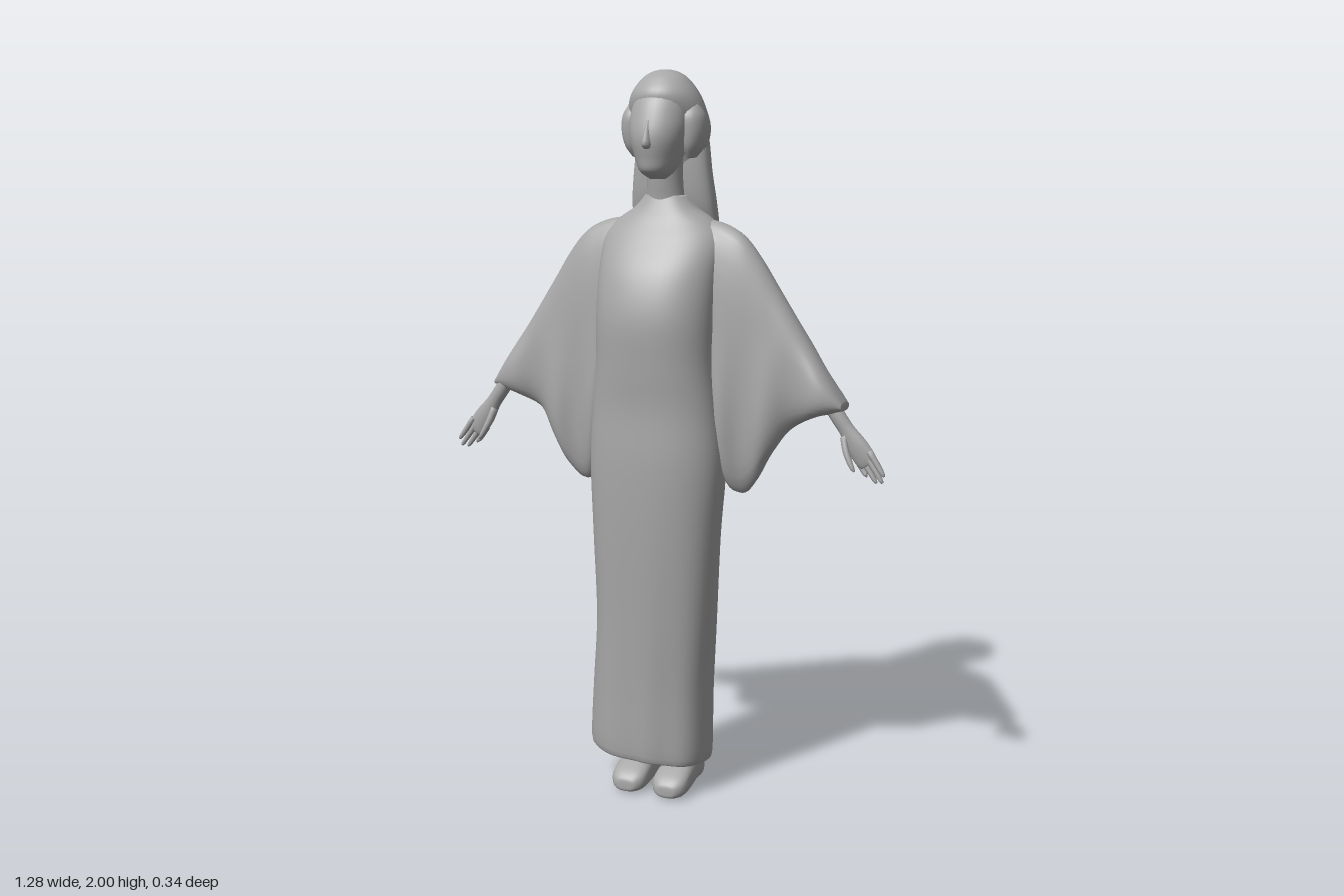
import * as THREE from 'three';

const clay = new THREE.MeshStandardMaterial({ color: 0xa8a8a8 });
clay.name = 'grey clay';

// Smooth closed loft. Sections run along one axis (0 x, 1 y, 2 z) in rising order:
// [position, aMin, aMax, bMin, bMax], where a and b are the next two axes in cyclic order.
function loft(axis, sections, { steps = 5, sides = 32, power = 1, warp } = {}) {
  const a = (axis + 1) % 3, b = (axis + 2) % 3;
  const pos = [], index = [], rings = (sections.length - 1) * steps + 1;
  const sample = (t) => {
    const i = Math.min(Math.floor(t), sections.length - 2), f = t - i;
    const at = (k) => sections[Math.max(0, Math.min(sections.length - 1, k))];
    return sections[0].map((_, c) => {
      const [p, q, r, s] = [at(i - 1)[c], at(i)[c], at(i + 1)[c], at(i + 2)[c]];
      return q + 0.5 * f * (r - p + f * (2 * p - 5 * q + 4 * r - s + f * (3 * (q - r) + s - p)));
    });
  };
  const push = (p) => { if (warp) warp(p); pos.push(p[0], p[1], p[2]); };
  const round = (v) => Math.sign(v) * Math.abs(v) ** power;
  const ends = [];
  for (let i = 0; i < rings; i++) {
    const [w, a0, a1, b0, b1] = sample(i / steps);
    for (let j = 0; j < sides; j++) {
      const th = (j / sides) * Math.PI * 2, p = [0, 0, 0];
      p[axis] = w;
      p[a] = (a0 + a1) / 2 + ((a1 - a0) / 2) * round(Math.cos(th));
      p[b] = (b0 + b1) / 2 + ((b1 - b0) / 2) * round(Math.sin(th));
      push(p);
      if (i < rings - 1) {
        const k = (j + 1) % sides, q = i * sides;
        index.push(q + j, q + k, q + sides + k, q + j, q + sides + k, q + sides + j);
      }
    }
    if (i === 0 || i === rings - 1) {
      const p = [0, 0, 0];
      p[axis] = w; p[a] = (a0 + a1) / 2; p[b] = (b0 + b1) / 2;
      ends.push(p);
    }
  }
  // end caps
  const n = rings * sides, last = n - sides;
  ends.forEach(push);
  for (let j = 0; j < sides; j++) {
    const k = (j + 1) % sides;
    index.push(n, k, j, n + 1, last + j, last + k);
  }
  const geo = new THREE.BufferGeometry();
  geo.setAttribute('position', new THREE.Float32BufferAttribute(pos, 3));
  geo.setIndex(index);
  geo.computeVertexNormals();
  return geo;
}

// Mirror a geometry across x = 0, keeping faces outward
function mirrored(geo) {
  const g = geo.clone(), p = g.attributes.position, ix = g.index.array;
  for (let i = 0; i < p.count; i++) p.setX(i, -p.getX(i));
  for (let i = 0; i < ix.length; i += 3) [ix[i], ix[i + 1]] = [ix[i + 1], ix[i]];
  g.computeVertexNormals();
  return g;
}

export function createModel() {
  const model = new THREE.Group();
  const add = (name, geo) => {
    const mesh = new THREE.Mesh(geo, clay);
    mesh.name = name;
    model.add(mesh);
    return mesh;
  };
  const pair = (name, geo, zShift = 0) => {
    add('left ' + name, geo);
    add('right ' + name, mirrored(geo)).position.z = zShift;
  };

  // Long robe: y, back z, front z, right x, left x; hem swings to the right
  add('robe', loft(1, [
    [0.1, -0.09, 0.11, -0.19, 0.13],
    [0.115, -0.105, 0.125, -0.21, 0.145],
    [0.3, -0.105, 0.132, -0.2, 0.15],
    [0.5, -0.098, 0.142, -0.185, 0.163],
    [0.75, -0.085, 0.155, -0.187, 0.18],
    [0.95, -0.088, 0.16, -0.192, 0.195],
    [1.1, -0.075, 0.156, -0.182, 0.182],
    [1.22, -0.08, 0.163, -0.17, 0.17],
    [1.35, -0.1, 0.166, -0.17, 0.17],
    [1.46, -0.11, 0.138, -0.172, 0.172],
    [1.55, -0.108, 0.085, -0.172, 0.172],
    [1.6, -0.1, 0.052, -0.14, 0.14],
    [1.635, -0.085, 0.035, -0.09, 0.09],
    [1.67, -0.07, 0.02, -0.058, 0.058],
  ], {
    sides: 48, power: 0.9,
    warp: (p) => { // soft folds and a slanted hem
      const low = Math.max(0, 1 - p[1] / 0.9), th = Math.atan2(p[0], p[2] - 0.02);
      const k = 1 + 0.025 * low * Math.sin(7 * th + 1);
      p[0] *= k;
      p[2] *= k;
      if (p[1] < 0.4) p[1] -= 0.07 * p[0] * (1 - p[1] / 0.4);
    },
  }));

  // Wide hanging sleeves: x, bottom y, top y, back z, front z
  pair('sleeve', loft(0, [
    [0.07, 1.35, 1.61, -0.1, 0.03],
    [0.14, 1.15, 1.605, -0.105, 0.05],
    [0.19, 0.92, 1.592, -0.095, 0.055],
    [0.235, 0.87, 1.565, -0.08, 0.052],
    [0.28, 0.91, 1.51, -0.073, 0.046],
    [0.325, 0.99, 1.44, -0.07, 0.04],
    [0.37, 1.055, 1.37, -0.068, 0.036],
    [0.44, 1.095, 1.262, -0.065, 0.03],
    [0.495, 1.11, 1.178, -0.06, 0.025],
    [0.52, 1.118, 1.138, -0.05, 0.015],
  ], {
    power: 0.85,
    warp: (p) => { // drape below the arm
      const d = Math.max(0, 1.3 - p[1]);
      p[2] += 0.05 * d + 0.012 * Math.min(1, d * 4) * Math.sin(p[0] * 45);
    },
  }));

  // Forearm, palm, fingers and thumb, drawn along x then turned down at the wrist
  const place = (geo) => {
    geo.rotateZ(-0.96).translate(0.47, 1.15, -0.012);
    return geo;
  };
  pair('hand', place(loft(0, [
    [-0.06, -0.02, 0.02, -0.02, 0.02],
    [0.05, -0.022, 0.02, -0.02, 0.02],
    [0.1, -0.022, 0.021, -0.017, 0.017],
    [0.15, -0.031, 0.029, -0.018, 0.016],
    [0.195, -0.03, 0.03, -0.014, 0.012],
    [0.21, -0.024, 0.024, -0.008, 0.008],
  ], { sides: 16, steps: 3 })), 0.02);
  [[-0.023, 0.235], [-0.008, 0.262], [0.008, 0.27], [0.023, 0.258]].forEach(([y, tip], i) => {
    const z = 0.004 * (i - 1.5);
    pair('finger ' + (i + 1), place(loft(0, [
      [0.18, y - 0.009, y + 0.009, z - 0.009, z + 0.009],
      [0.22, y - 0.008, y + 0.008, z - 0.008, z + 0.01],
      [tip - 0.008, y - 0.006, y + 0.006, z - 0.002, z + 0.011],
      [tip, y - 0.002, y + 0.002, z + 0.003, z + 0.007],
    ], { sides: 10, steps: 2 })), 0.02);
  });
  pair('thumb', place(loft(0, [
    [0.11, -0.025, -0.005, 0, 0.018],
    [0.15, -0.037, -0.018, 0.012, 0.03],
    [0.19, -0.04, -0.026, 0.022, 0.036],
    [0.205, -0.036, -0.03, 0.028, 0.034],
  ], { sides: 10, steps: 3 })), 0.02);

  // Neck and face
  add('neck', loft(1, [
    [1.58, -0.08, 0.045, -0.09, 0.09],
    [1.64, -0.07, 0.025, -0.058, 0.058],
    [1.7, -0.065, 0.03, -0.05, 0.05],
    [1.78, -0.06, 0.04, -0.052, 0.052],
  ]));
  add('face', loft(1, [
    [1.715, 0.01, 0.055, -0.022, 0.022],
    [1.735, -0.02, 0.09, -0.045, 0.045],
    [1.77, -0.05, 0.1, -0.062, 0.062],
    [1.82, -0.06, 0.108, -0.076, 0.076],
    [1.87, -0.06, 0.098, -0.08, 0.08],
    [1.93, -0.06, 0.072, -0.07, 0.07],
    [1.97, -0.04, 0.03, -0.04, 0.04],
  ]));
  add('nose', loft(1, [
    [1.795, 0.085, 0.105, -0.01, 0.01],
    [1.808, 0.08, 0.121, -0.014, 0.014],
    [1.84, 0.08, 0.112, -0.009, 0.009],
    [1.87, 0.08, 0.1, -0.006, 0.006],
  ], { sides: 12, steps: 3 }));

  // Hair cap with puffs over the ears
  add('hair cap', loft(1, [
    [1.74, -0.11, -0.02, -0.09, 0.09],
    [1.8, -0.122, 0.005, -0.104, 0.104],
    [1.85, -0.127, 0.035, -0.115, 0.115],
    [1.9, -0.122, 0.066, -0.106, 0.106],
    [1.94, -0.108, 0.072, -0.09, 0.09],
    [1.975, -0.08, 0.046, -0.064, 0.064],
    [1.993, -0.053, 0.02, -0.038, 0.038],
    [2.0, -0.03, -0.005, -0.012, 0.012],
  ]));
  pair('hair puff', loft(1, [
    [1.77, -0.03, 0.01, 0.07, 0.09],
    [1.8, -0.055, 0.028, 0.055, 0.112],
    [1.84, -0.06, 0.036, 0.05, 0.121],
    [1.88, -0.055, 0.035, 0.05, 0.117],
    [1.91, -0.03, 0.015, 0.06, 0.1],
  ], { sides: 20 }));

  // Long hair down the back, ending in loose locks
  add('long hair', loft(1, [
    [1.26, -0.155, -0.1, -0.105, 0.105],
    [1.4, -0.152, -0.09, -0.115, 0.115],
    [1.55, -0.136, -0.06, -0.124, 0.124],
    [1.64, -0.126, -0.03, -0.122, 0.122],
    [1.73, -0.114, -0.02, -0.112, 0.112],
    [1.82, -0.118, -0.02, -0.1, 0.1],
    [1.88, -0.11, -0.03, -0.08, 0.08],
  ], { power: 0.75 }));
  [-0.09, -0.045, 0, 0.045, 0.09].forEach((x, i) => {
    const end = 1.17 + 0.018 * ((i * 2) % 3), z = -0.004 * (i % 2);
    add('hair lock ' + (i + 1), loft(1, [
      [end, -0.14 + z, -0.1 + z, x - 0.01, x + 0.01],
      [end + 0.025, -0.163 + z, -0.088 + z, x - 0.024, x + 0.024],
      [1.3, -0.16 + z, -0.09, x - 0.028, x + 0.028],
      [1.42, -0.148, -0.09, x - 0.02, x + 0.02],
    ], { sides: 14, steps: 4 }));
  });

  // Shoes and ankles
  pair('shoe', loft(2, [
    [-0.097, 0.045, 0.075, 0.01, 0.05],
    [-0.085, 0.027, 0.093, 0, 0.075],
    [-0.03, 0.022, 0.1, 0, 0.095],
    [0.04, 0.012, 0.112, 0, 0.088],
    [0.095, 0.012, 0.113, 0, 0.066],
    [0.122, 0.03, 0.095, 0.005, 0.045],
    [0.127, 0.05, 0.075, 0.015, 0.03],
  ], { sides: 24, power: 0.75 }));
  pair('ankle', loft(1, [
    [0.04, -0.07, 0.03, 0.025, 0.1],
    [0.15, -0.06, 0.03, 0.025, 0.1],
  ], { sides: 20 }));

  return model;
}
